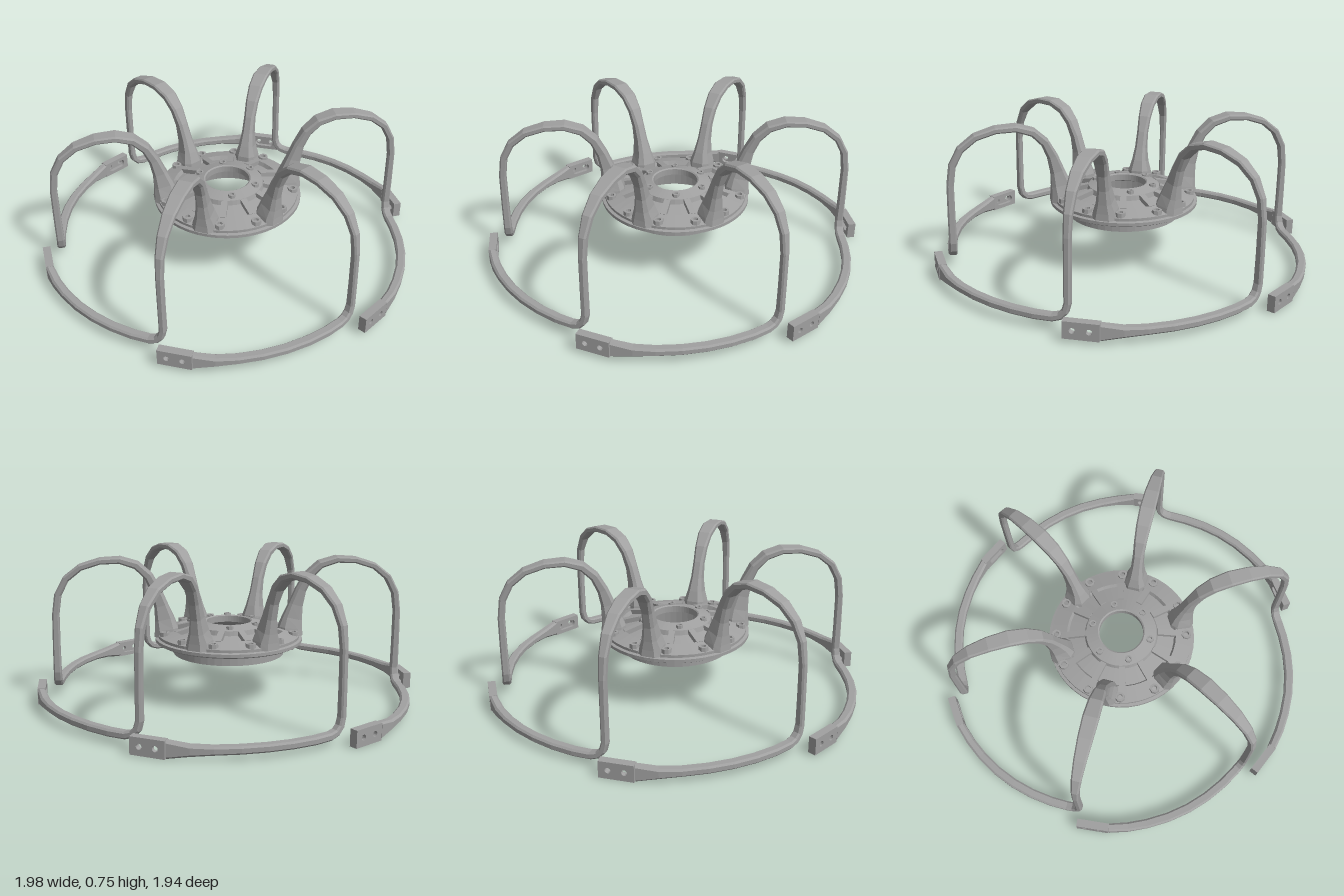
import * as THREE from 'three';

const metal = new THREE.MeshStandardMaterial({ color: 0xa0a0a0, flatShading: true });
metal.name = 'grey metal';

const add = (parent, geometry, name) => {
  const mesh = new THREE.Mesh(geometry, metal);
  mesh.name = name;
  parent.add(mesh);
  return mesh;
};

const lathe = (points, segments) =>
  new THREE.LatheGeometry(points.map(([x, y]) => new THREE.Vector2(x, y)), segments);

// Sweeps a chamfered rectangle along stations { p, t: thickness, w: width, n: outward hint }
function sweep(stations) {
  const pos = [], index = [], sides = 8, last = stations.length - 1;
  stations.forEach(({ p, t, w, n }, i) => {
    const T = stations[Math.min(i + 1, last)].p.clone().sub(stations[Math.max(i - 1, 0)].p).normalize();
    const N = n ? n.clone() : new THREE.Vector3(0, 0, 1).cross(T);
    N.addScaledVector(T, -N.dot(T)).normalize();
    const S = T.clone().cross(N);
    const a = t / 2, b = w / 2, c = Math.min(a, b) * 0.45;
    const ring = [[a, -b + c], [a, b - c], [a - c, b], [-a + c, b], [-a, b - c], [-a, -b + c], [-a + c, -b], [a - c, -b]];
    for (const [u, v] of ring) pos.push(...p.clone().addScaledVector(N, u).addScaledVector(S, v).toArray());
  });
  for (let i = 0; i < last; i++) {
    for (let j = 0; j < sides; j++) {
      const a = i * sides + j, b = i * sides + (j + 1) % sides;
      index.push(a, b, a + sides, b, b + sides, a + sides);
    }
  }
  for (let j = 1; j < sides - 1; j++) {
    index.push(0, j + 1, j);
    index.push(last * sides, last * sides + j, last * sides + j + 1);
  }
  const g = new THREE.BufferGeometry();
  g.setAttribute('position', new THREE.Float32BufferAttribute(pos, 3));
  g.setIndex(index);
  g.computeVertexNormals();
  return g;
}

// Arch and leg in the radial plane: radius, height, thickness, width
const ARCH = [
  [0.325, 0.33, 0.125, 0.125], [0.325, 0.37, 0.12, 0.11], [0.335, 0.42, 0.1, 0.08],
  [0.352, 0.49, 0.072, 0.06], [0.377, 0.57, 0.055, 0.056], [0.415, 0.645, 0.045, 0.064],
  [0.475, 0.702, 0.038, 0.074], [0.56, 0.729, 0.032, 0.08], [0.66, 0.724, 0.03, 0.074],
  [0.76, 0.692, 0.032, 0.062], [0.835, 0.632, 0.035, 0.05], [0.878, 0.55, 0.036, 0.04],
  [0.892, 0.45, 0.036, 0.034], [0.894, 0.28, 0.038, 0.032], [0.894, 0.14, 0.04, 0.032],
];
// Bend and band around the hub: angle in degrees, radius, height, thickness, width
const BAND = [
  [0.7, 0.895, 0.1, 0.042, 0.033], [2.2, 0.896, 0.075, 0.044, 0.034], [4.5, 0.899, 0.064, 0.045, 0.036],
  [10, 0.908, 0.062, 0.046, 0.037], [17, 0.92, 0.063, 0.046, 0.037], [24, 0.932, 0.064, 0.046, 0.037],
  [31, 0.943, 0.064, 0.046, 0.038], [38, 0.953, 0.063, 0.046, 0.04], [44, 0.962, 0.061, 0.045, 0.052],
  [50, 0.97, 0.06, 0.04, 0.082],
];

function armGeometry() {
  const stations = ARCH.map(([r, y, t, w]) => ({ p: new THREE.Vector3(r, y, 0), t, w }));
  for (const [deg, r, y, t, w] of BAND) {
    const a = THREE.MathUtils.degToRad(deg);
    const n = new THREE.Vector3(Math.cos(a), 0, Math.sin(a));
    stations.push({ p: n.clone().multiplyScalar(r).setY(y), t, w, n });
  }
  return sweep(stations);
}

// One half-thickness layer of the end pad, with cut-outs
function padLayer(holes) {
  const s = new THREE.Shape();
  const x = 0.083, y = 0.042;
  s.moveTo(-x, -y).lineTo(x, -y).lineTo(x, y).lineTo(-x, y).closePath();
  s.holes.push(...holes);
  return new THREE.ExtrudeGeometry(s, { depth: 0.02, bevelEnabled: false, curveSegments: 6 });
}
function boltHole(x) {
  return new THREE.Path().absarc(x, 0, 0.014, 0, Math.PI * 2, true);
}
function slotHole() {
  return new THREE.Path()
    .absarc(0.035, 0, 0.022, Math.PI / 2, -Math.PI / 2, true)
    .absarc(-0.035, 0, 0.022, -Math.PI / 2, -Math.PI * 1.5, true);
}

export function createModel() {
  const model = new THREE.Group();
  model.name = 'six arm frame';

  // Hollow hub with flange, lower drum and a recessed ring on top
  const hub = new THREE.Group();
  hub.name = 'hub';
  model.add(hub);
  add(hub, lathe([
    [0.29, 0.24], [0.29, 0.295], [0.37, 0.3], [0.385, 0.308], [0.385, 0.324], [0.37, 0.328],
    [0.37, 0.342], [0.287, 0.366], [0.277, 0.346], [0.192, 0.368], [0.185, 0.392], [0.122, 0.41],
    [0.115, 0.405], [0.115, 0.372], [0.2, 0.352], [0.24, 0.325], [0.25, 0.24], [0.29, 0.24],
  ], 48), 'hub body');

  // Ribs dividing the recessed ring into pockets
  const rib = new THREE.BoxGeometry(0.105, 0.035, 0.032);
  for (let i = 0; i < 12; i++) {
    const turn = new THREE.Group();
    turn.name = 'pocket rib';
    turn.rotation.y = THREE.MathUtils.degToRad(18 + i * 30);
    const mesh = add(turn, rib, 'rib');
    mesh.position.set(0.235, 0.363, 0);
    mesh.rotation.z = -0.25;
    hub.add(turn);
  }

  // Bolt sockets
  const socket = lathe([[0.027, -0.015], [0.025, 0.016], [0.014, 0.016], [0.012, -0.005], [0, -0.005]], 8);
  const placeSocket = (deg, r, y, scale) => {
    const a = THREE.MathUtils.degToRad(deg);
    const mesh = add(hub, socket, 'bolt socket');
    mesh.position.set(Math.cos(a) * r, y, -Math.sin(a) * r);
    mesh.scale.setScalar(scale);
  };

  const arm = armGeometry();
  const outerPad = padLayer([boltHole(-0.038), boltHole(0.038)]);
  const innerPad = padLayer([slotHole()]);
  const padAngle = THREE.MathUtils.degToRad(54.9);

  // Six arms, each with its leg, band and slotted end pad
  for (let i = 0; i < 6; i++) {
    const deg = 3 + i * 60;
    const group = new THREE.Group();
    group.name = 'arm';
    group.rotation.y = THREE.MathUtils.degToRad(deg);
    model.add(group);
    add(group, arm, 'arch leg and band');

    const pad = new THREE.Group();
    pad.name = 'end pad';
    pad.position.set(Math.cos(padAngle) * 0.968, 0.06, Math.sin(padAngle) * 0.968);
    pad.rotation.y = Math.PI / 2 - padAngle;
    group.add(pad);
    add(pad, outerPad, 'bolt plate');
    add(pad, innerPad, 'slot plate').position.z = -0.02;

    placeSocket(deg - 16, 0.342, 0.35, 1);
    placeSocket(deg + 13, 0.342, 0.35, 1);
    placeSocket(deg + 28, 0.155, 0.4, 0.75);
  }

  // The whole frame leans very slightly
  model.rotation.z = 0.013;
  return model;
}
